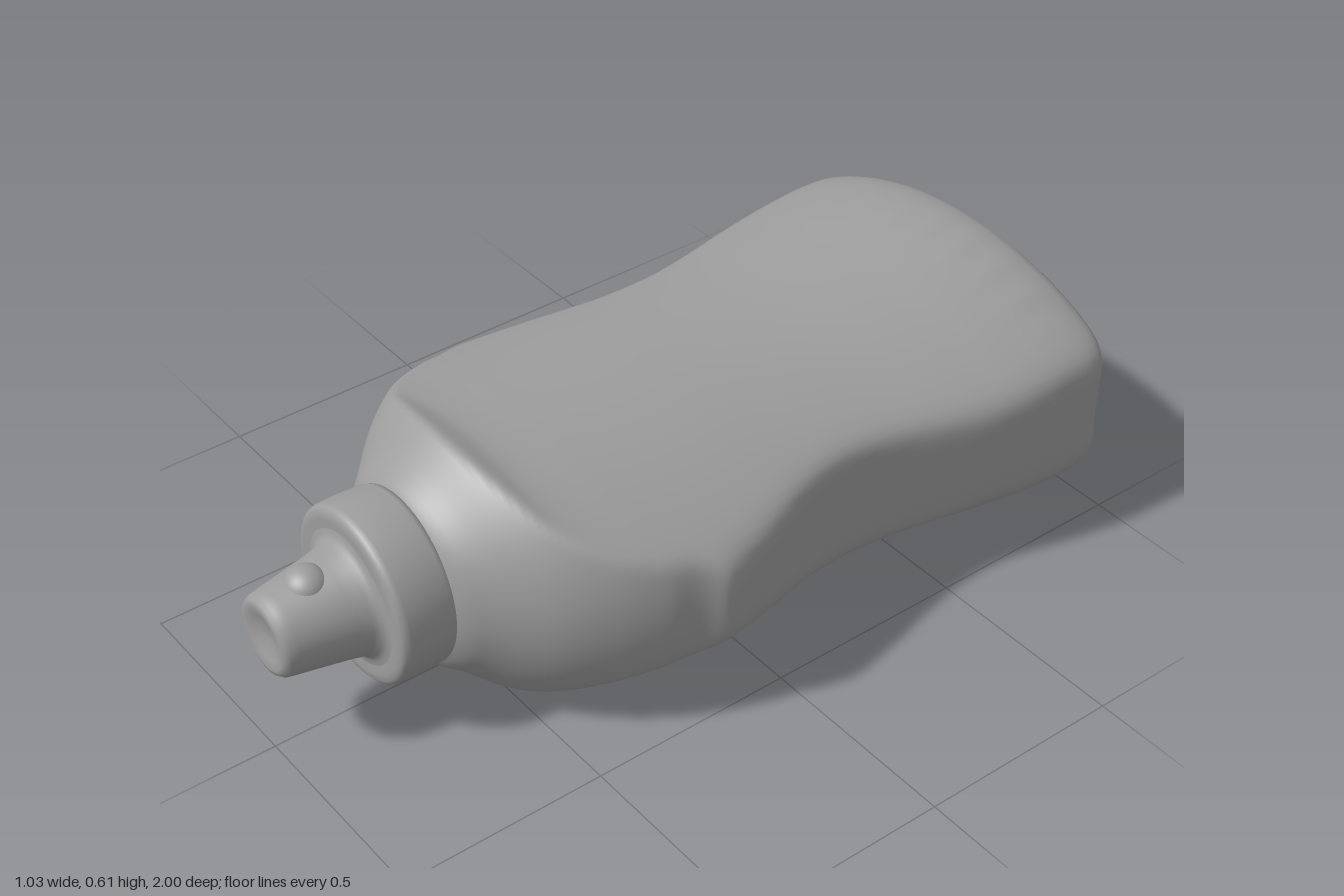
import * as THREE from 'three';

const AXIS_Y = 0.307;
const material = new THREE.MeshStandardMaterial({ color: 0x9d9d9d });

// Smooth curve through [position, value] pairs
function sample(keys, z) {
  const n = keys.length - 1;
  if (z <= keys[0][0]) return keys[0][1];
  if (z >= keys[n][0]) return keys[n][1];
  let i = 0;
  while (z > keys[i + 1][0]) i++;
  const slope = (k) => {
    const a = keys[Math.max(k - 1, 0)], b = keys[Math.min(k + 1, n)];
    return (b[1] - a[1]) / (b[0] - a[0]);
  };
  const [z0, v0] = keys[i], [z1, v1] = keys[i + 1];
  const d = z1 - z0, t = (z - z0) / d, t2 = t * t, t3 = t2 * t;
  return v0 * (2 * t3 - 3 * t2 + 1) + slope(i) * d * (t3 - 2 * t2 + t)
    + v1 * (3 * t2 - 2 * t3) + slope(i + 1) * d * (t3 - t2);
}

// Half width of the waisted sides, half height of the arched faces
const WIDTH = [[-0.95, 0.498], [-0.8, 0.5], [-0.7, 0.495], [-0.6, 0.48], [-0.5, 0.455], [-0.4, 0.43],
  [-0.3, 0.415], [-0.2, 0.418], [-0.1, 0.44], [0, 0.474], [0.1, 0.503], [0.2, 0.53], [0.3, 0.55]];
const HEIGHT = [[-0.95, 0.298], [-0.85, 0.3], [-0.75, 0.292], [-0.6, 0.275], [-0.4, 0.258],
  [-0.2, 0.254], [0, 0.258], [0.3, 0.266], [0.45, 0.277], [0.53, 0.308], [0.6, 0.32]];
// Shoulder dome that trims the front: half width and half height
const DOME_X = [[0, 0.7], [0.1, 0.59], [0.2, 0.503], [0.3, 0.478], [0.4, 0.437], [0.5, 0.372],
  [0.6, 0.268], [0.64, 0.225], [0.66, 0.19]];
const DOME_Y = [[0, 0.64], [0.2, 0.5], [0.4, 0.395], [0.53, 0.306], [0.6, 0.245], [0.64, 0.218], [0.66, 0.19]];

// Smaller of two distances, with the corner between them rounded off
const softMin = (a, b, p) => Math.pow(Math.pow(a, -p) + Math.pow(b, -p), -1 / p);

// Distance from the bottle axis to its wall at angle a
function wall(z, a) {
  const c = Math.abs(Math.cos(a)), s = Math.abs(Math.sin(a));
  const h = sample(HEIGHT, z), k = 0.58 * c * c;
  const side = sample(WIDTH, z) / Math.max(c, 1e-4);
  const arch = 2 * h / (s + Math.sqrt(s * s + 4 * k * h));
  let r = softMin(side, arch, 22);
  // Faint grip ribs near the base
  const band = Math.max(0, 1 - Math.abs(z + 0.87) / 0.1);
  if (s > 0.4) r += 0.002 * band * Math.cos(r * Math.cos(a) * 62) * Math.min(1, (s - 0.4) * 5);
  if (z > 0) r = softMin(r, 1 / Math.hypot(c / sample(DOME_X, z), s / sample(DOME_Y, z)), 60);
  return r;
}

function bottleGeometry() {
  const SEG = 160;
  // Rings: [z, scale, inset, side pull]; the first ones form the dished, rounded base
  const rings = [[-0.955, 0.001, 0, 0], [-0.955, 0.3, 0, 0], [-0.958, 0.5, 0, 0], [-0.967, 0.62, 0, 0.2],
    [-0.983, 0.72, 0, 0.6], [-0.994, 0.79, 0, 1], [-1, 1, 0.07, 1], [-0.998, 1, 0.05, 1],
    [-0.99, 1, 0.031, 0.9], [-0.975, 1, 0.016, 0.7], [-0.955, 1, 0.007, 0.4], [-0.925, 1, 0.001, 0.1]];
  for (let i = 0; i <= 130; i++) rings.push([-0.9 + 1.56 * i / 130, 1, 0, 0]);
  const pos = [], index = [];
  rings.forEach(([z, scale, inset, pull], i) => {
    for (let j = 0; j < SEG; j++) {
      const a = j / SEG * Math.PI * 2;
      const r = wall(Math.max(z, -0.95), a) * scale - inset;
      pos.push(r * Math.cos(a), AXIS_Y + r * Math.sin(a), z + 0.018 * pull * Math.cos(a) ** 20);
      if (i === rings.length - 1) continue;
      const p = i * SEG + j, q = i * SEG + (j + 1) % SEG;
      index.push(p, q, p + SEG, q, q + SEG, p + SEG);
    }
  });
  const g = new THREE.BufferGeometry();
  g.setAttribute('position', new THREE.Float32BufferAttribute(pos, 3));
  g.setIndex(index);
  g.computeVertexNormals();
  return g;
}

// Round part turned about the bottle axis, from [radius, z] pairs
function turned(name, profile) {
  const g = new THREE.LatheGeometry(profile.map(([r, z]) => new THREE.Vector2(r, z)), 64);
  g.rotateX(Math.PI / 2);
  const mesh = new THREE.Mesh(g, material);
  mesh.name = name;
  mesh.position.y = AXIS_Y + 0.006;
  return mesh;
}

export function createModel() {
  const group = new THREE.Group();
  group.name = 'squeezeBottle';

  const body = new THREE.Mesh(bottleGeometry(), material);
  body.name = 'bottleBody';
  group.add(body);

  group.add(turned('cap', [[0, 0.64], [0.19, 0.64], [0.204, 0.645], [0.209, 0.66], [0.211, 0.72],
    [0.21, 0.765], [0.206, 0.777], [0.197, 0.784], [0.18, 0.786], [0.16, 0.784], [0, 0.784]]));

  group.add(turned('spout', [[0.165, 0.783], [0.148, 0.786], [0.135, 0.793], [0.127, 0.807], [0.12, 0.84],
    [0.108, 0.91], [0.099, 0.965], [0.095, 0.985], [0.087, 0.996], [0.075, 1], [0.055, 0.995],
    [0.03, 0.987], [0, 0.985]]));

  // Soft bump on top of the spout
  const bump = new THREE.Mesh(new THREE.SphereGeometry(1, 32, 20), material);
  bump.name = 'spoutBump';
  bump.scale.set(0.052, 0.044, 0.05);
  bump.position.set(0, 0.4, 0.885);
  group.add(bump);

  return group;
}
